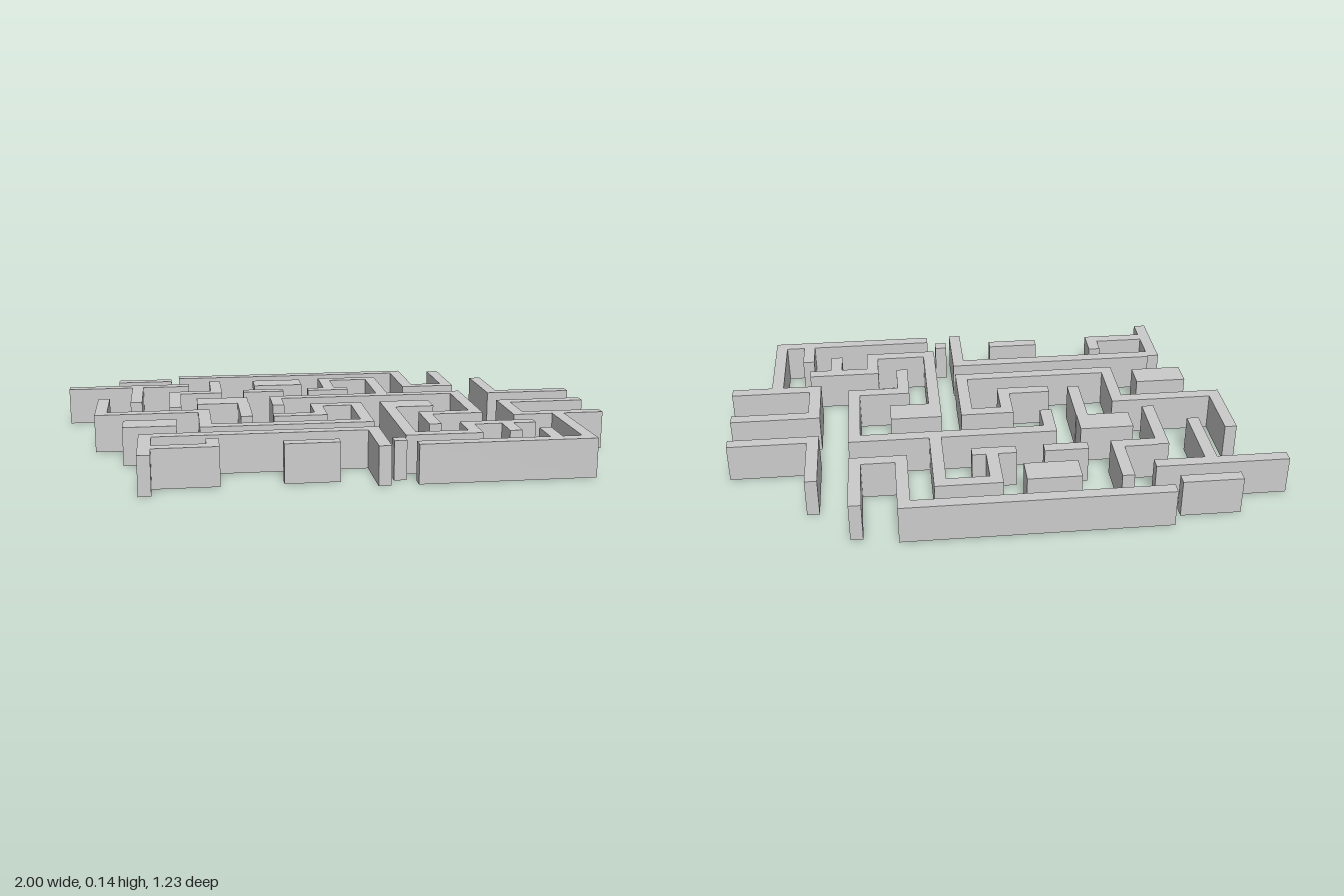
import * as THREE from 'three';

const HEIGHT = 0.14;
const HALF = 0.022; // half of the wall thickness

// Wall of constant thickness along a plan centreline of [x, z] points, with mitred corners
function wallGeometry(path) {
  const pts = path.map(([x, z]) => new THREE.Vector2(x, -z));
  const left = [], right = [];
  pts.forEach((p, i) => {
    const offset = new THREE.Vector2();
    const normals = [];
    for (const [a, b] of [[i - 1, i], [i, i + 1]]) {
      if (!pts[a] || !pts[b]) continue;
      const d = pts[b].clone().sub(pts[a]).normalize();
      normals.push(new THREE.Vector2(-d.y, d.x));
    }
    normals.forEach((n) => offset.add(n));
    if (normals.length === 2) offset.divideScalar(1 + normals[0].dot(normals[1]));
    offset.multiplyScalar(HALF);
    left.push(p.clone().add(offset));
    right.unshift(p.clone().sub(offset));
  });
  const shape = new THREE.Shape([...right, ...left]);
  return new THREE.ExtrudeGeometry(shape, { depth: HEIGHT, bevelEnabled: false }).rotateX(-Math.PI / 2);
}

// Walls: the first path is the main run, the rest are branches butting against it
const WALLS = {
  backWall: [
    [[-0.56, -0.6], [0.368, -0.6], [0.368, -0.322], [0.532, -0.322], [0.532, -0.592]],
  ],
  backLooseWall: [[[-0.805, -0.548], [-0.59, -0.548]]],
  backRightTee: [
    [[-1, -0.442], [-0.52, -0.442]],
    [[-0.726, -0.42], [-0.726, -0.155]],
  ],
  backStepWall: [
    [[-0.413, -0.507], [-0.413, -0.302], [-0.555, -0.302]],
    [[-0.577, -0.32], [-0.577, -0.052]],
  ],
  shortBackWall: [[[-0.305, -0.302], [-0.145, -0.302]]],
  centreSpine: [
    [[-0.187, -0.04], [-0.187, -0.173], [0.532, -0.173], [0.532, 0.159], [0.342, 0.159], [0.342, 0.328]],
    [[0.239, -0.195], [0.239, -0.484], [0.044, -0.484], [0.044, -0.324]],
    [[-0.045, -0.302], [0.116, -0.302]],
  ],
  hookSpur: [[[-0.318, -0.09], [-0.318, 0.126]]],
  innerSpiral: [
    [[-0.852, -0.23], [-0.852, 0.018], [-0.472, 0.018], [-0.472, 0.243], [0.11, 0.243],
      [0.11, -0.025], [-0.043, -0.025], [-0.043, 0.117], [-0.22, 0.117]],
  ],
  frontWall: [
    [[0.112, 0.597], [0.112, 0.358], [-0.663, 0.358]],
    [[-0.685, 0.343], [-0.685, 0.612]],
    [[-0.663, 0.512], [-0.457, 0.512], [-0.457, 0.424]],
  ],
  frontLooseWall: [[[-0.22, 0.508], [-0.028, 0.508]]],
  frontPost: [[[0.153, 0.517], [0.197, 0.517]]],
  frontLeftStep: [
    [[0.228, 0.05], [0.228, 0.449], [0.458, 0.449], [0.458, 0.328], [0.705, 0.328]],
    [[0.602, 0.35], [0.602, 0.455]],
  ],
  leftElbow: [[[0.682, -0.433], [0.682, -0.163], [0.99, -0.163]]],
  leftBracket: [
    [[0.99, 0.008], [0.682, 0.008], [0.682, 0.206], [1, 0.206]],
    [[0.828, 0.228], [0.828, 0.573], [0.228, 0.573]],
    [[0.715, 0.551], [0.715, 0.428]],
  ],
};

// Thick blocks: [minX, maxX, minZ, maxZ]
const BLOCKS = {
  backBlock: [-0.254, -0.06, -0.495, -0.395],
  hookBlock: [-0.494, -0.298, -0.19, -0.09],
  rightBlock: [-0.766, -0.575, 0.135, 0.236],
  leftBlock: [0.206, 0.396, -0.05, 0.05],
};

export function createModel() {
  const model = new THREE.Group();
  model.name = 'maze';
  const material = new THREE.MeshStandardMaterial({ color: 0xcccccc });

  for (const [name, paths] of Object.entries(WALLS)) {
    const wall = new THREE.Group();
    wall.name = name;
    paths.forEach((path, i) => {
      const mesh = new THREE.Mesh(wallGeometry(path), material);
      mesh.name = i === 0 ? 'mainRun' : `branch${i}`;
      wall.add(mesh);
    });
    model.add(wall);
  }

  for (const [name, [x0, x1, z0, z1]] of Object.entries(BLOCKS)) {
    const mesh = new THREE.Mesh(new THREE.BoxGeometry(x1 - x0, HEIGHT, z1 - z0), material);
    mesh.position.set((x0 + x1) / 2, HEIGHT / 2, (z0 + z1) / 2);
    mesh.name = name;
    model.add(mesh);
  }
  return model;
}
